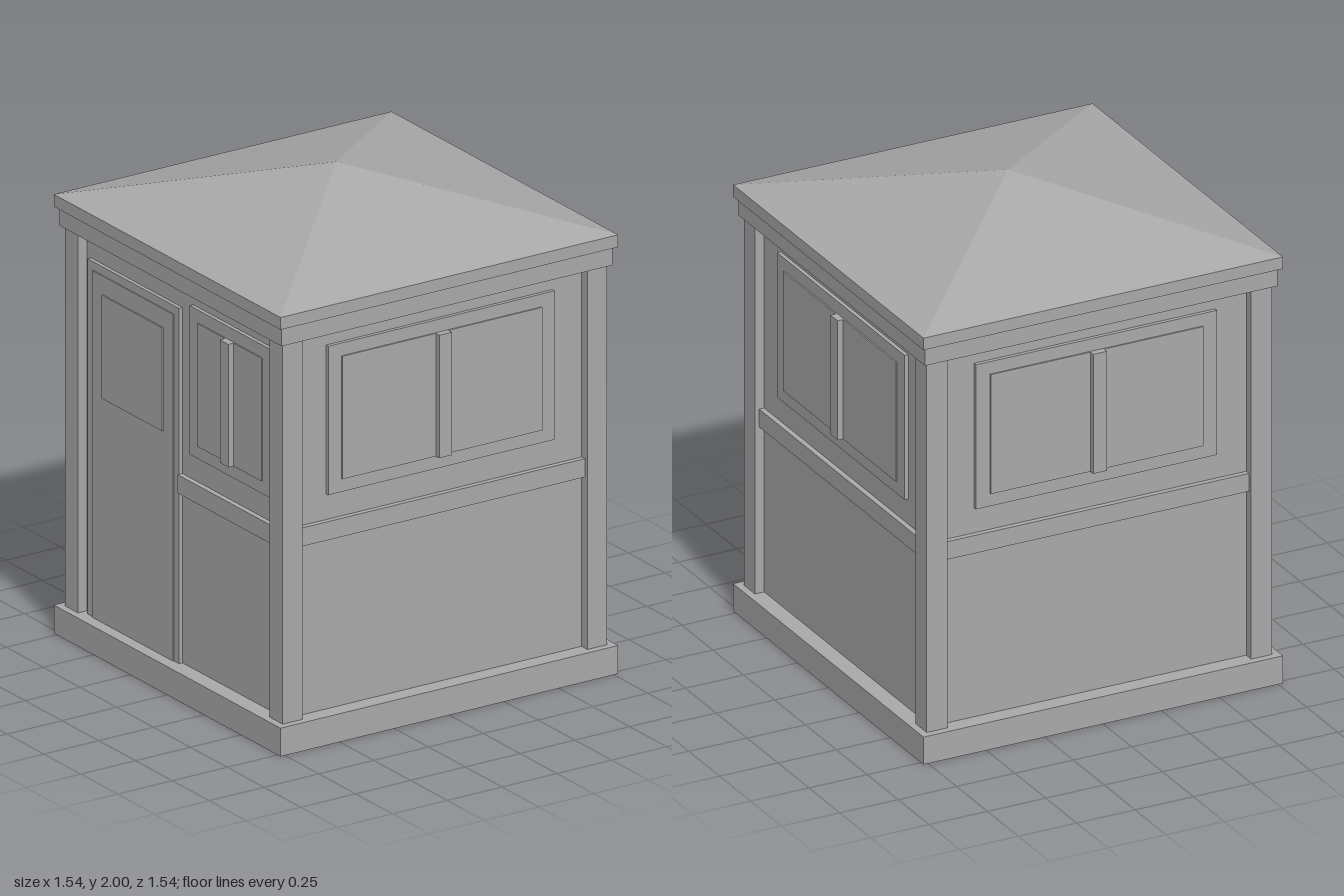
import * as THREE from 'three';

const grey = new THREE.MeshStandardMaterial({ color: 0xa8a8a8 });
grey.name = 'plain grey';

const WALL = 0.7; // distance of the wall faces from the centre
const FLOOR = 0.115;
const EAVE = 1.66;

function addMesh(parent, name, geometry) {
  const mesh = new THREE.Mesh(geometry, grey);
  mesh.name = name;
  parent.add(mesh);
  return mesh;
}

// Square slab centred on the y axis
function slab(parent, name, half, y0, y1) {
  addMesh(parent, name, new THREE.BoxGeometry(half * 2, y1 - y0, half * 2))
    .position.y = (y0 + y1) / 2;
}

// Panel standing on a wall that faces +z, reaching out to the given depth
function panel(parent, name, x0, x1, y0, y1, depth) {
  const back = WALL - 0.01;
  addMesh(parent, name, new THREE.BoxGeometry(x1 - x0, y1 - y0, depth - back))
    .position.set((x0 + x1) / 2, (y0 + y1) / 2, (depth + back) / 2);
}

// Framed window with two panes and a central mullion
function addWindow(parent, cx, halfWidth) {
  const win = new THREE.Group();
  win.name = 'window';
  const glass = halfWidth - 0.06;
  panel(win, 'windowFrame', cx - halfWidth, cx + halfWidth, 0.99, 1.595, 0.716);
  panel(win, 'windowPanes', cx - glass, cx + glass, 1.043, 1.543, 0.722);
  panel(win, 'windowMullion', cx - 0.029, cx + 0.029, 1.043, 1.543, 0.745);
  parent.add(win);
}

// Door with casing, leaf and a small window
function addDoor(parent) {
  const door = new THREE.Group();
  door.name = 'door';
  panel(door, 'doorCasing', -0.62, 0, FLOOR, 1.56, 0.716);
  panel(door, 'doorLeaf', -0.585, -0.035, FLOOR, 1.525, 0.72);
  panel(door, 'doorWindow', -0.51, -0.1, 1.03, 1.45, 0.726);
  parent.add(door);
}

export function createModel() {
  const model = new THREE.Group();
  model.name = 'guardBooth';

  slab(model, 'base', 0.77, 0, FLOOR);
  slab(model, 'walls', WALL, FLOOR, EAVE);
  slab(model, 'cornice', 0.755, EAVE, 1.735);
  slab(model, 'roofEdge', 0.77, 1.735, 1.785);

  // Pyramid roof
  const roof = new THREE.ConeGeometry(0.77 * Math.SQRT2, 0.215, 4, 1, true).toNonIndexed();
  roof.rotateY(Math.PI / 4);
  roof.computeVertexNormals();
  addMesh(model, 'roof', roof).position.y = 1.785 + 0.1075;

  // Corner posts
  for (const x of [-1, 1]) {
    for (const z of [-1, 1]) {
      addMesh(model, 'cornerPost', new THREE.BoxGeometry(0.09, EAVE - FLOOR, 0.09))
        .position.set(x * 0.695, (EAVE + FLOOR) / 2, z * 0.695);
    }
  }

  // Front, left, back and right sides; the door is on the right (-x)
  ['frontSide', 'leftSide', 'backSide', 'rightSide'].forEach((name, i) => {
    const side = new THREE.Group();
    side.name = name;
    const hasDoor = i === 3;
    panel(side, 'wallRail', hasDoor ? 0 : -0.65, 0.65, 0.81, 0.885, 0.722);
    if (hasDoor) {
      addDoor(side);
      addWindow(side, 0.35, 0.278);
    } else {
      addWindow(side, 0, 0.516);
    }
    side.rotation.y = i * Math.PI / 2;
    model.add(side);
  });

  return model;
}
